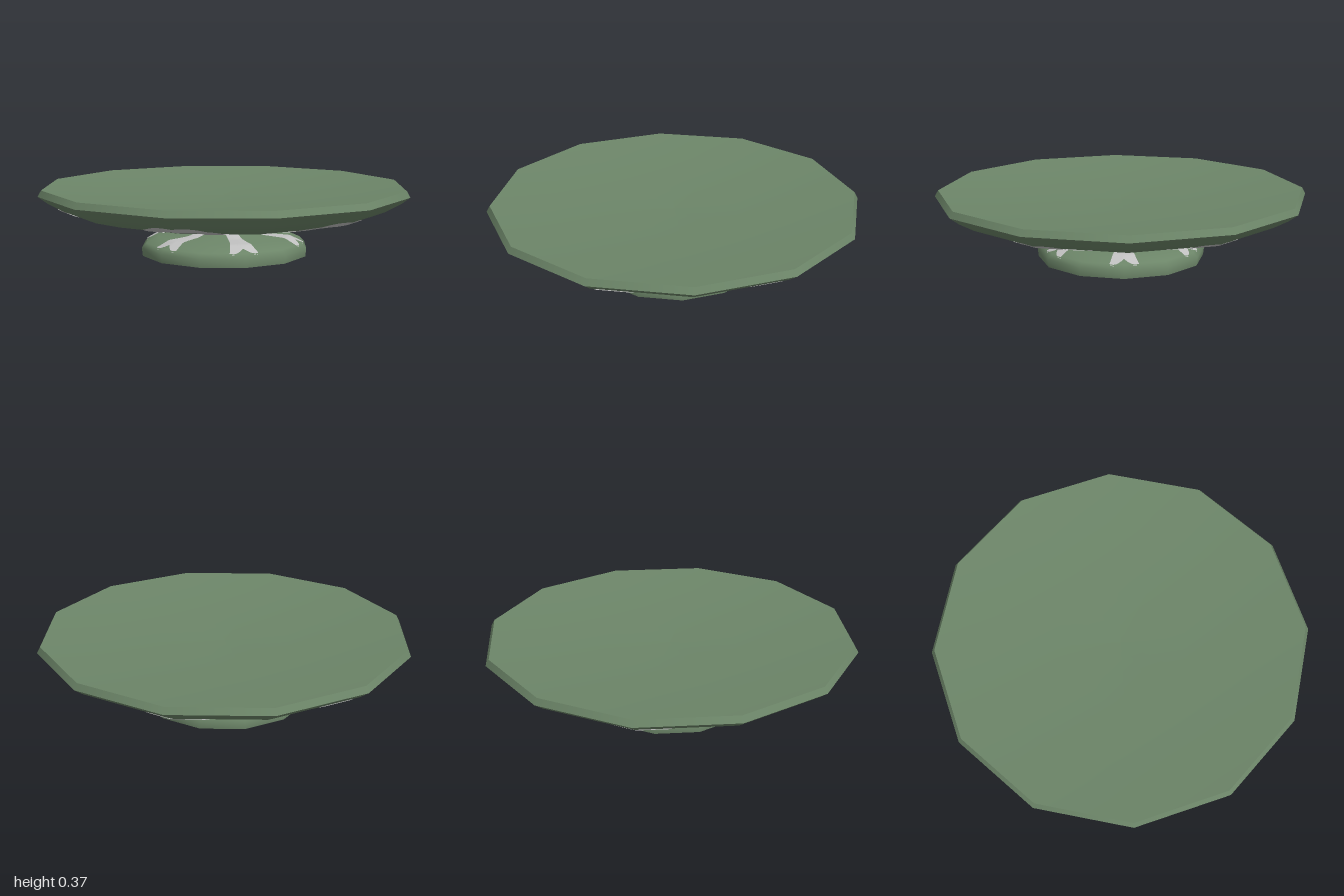
import * as THREE from 'three';

const SIDES = 12;
const UNDER = [[0, 0.155], [0.1, 0.155], [0.42, 0.182], [0.72, 0.218], [0.87, 0.256], [0.95, 0.3], [1, 0.337]];
const RIM = [[1, 0.337], [0.982, 0.37]];
const DISH = [[0.982, 0.37], [0.7, 0.342], [0.35, 0.322], [0, 0.315]];
const FOOT = [[0.45, 0], [0.455, 0.045], [0.43, 0.07], [0.365, 0.1], [0.24, 0.108], [0.1, 0.14], [0.1, 0.158]];

// Height of a twelve-sided lathe surface above the point (x, z)
function heightOn(profile, x, z) {
  const step = (2 * Math.PI) / SIDES;
  const a = Math.atan2(x, z);
  const mid = (Math.floor(a / step) + 0.5) * step;
  const r = (Math.hypot(x, z) * Math.cos(a - mid)) / Math.cos(step / 2);
  let i = 0;
  while (i < profile.length - 2 && r > profile[i + 1][0]) i++;
  const [r0, y0] = profile[i], [r1, y1] = profile[i + 1];
  return y0 + ((y1 - y0) * (r - r0)) / (r1 - r0);
}

// Thin painted patch: at(u, v) gives [sideways, outward], draped over a profile
function patch(profile, angle, offset, nu, nv, at) {
  const pos = [], index = [];
  const c = Math.cos(angle), s = Math.sin(angle);
  for (let i = 0; i <= nu; i++) {
    for (let j = 0; j <= nv; j++) {
      const [w, r] = at(i / nu, j / nv);
      const x = r * s + w * c, z = r * c - w * s;
      pos.push(x, heightOn(profile, x, z) + offset, z);
      if (i < nu && j < nv) {
        const a = i * (nv + 1) + j, b = a + nv + 1;
        index.push(a, b, a + 1, b, b + 1, a + 1);
      }
    }
  }
  const g = new THREE.BufferGeometry();
  g.setAttribute('position', new THREE.Float32BufferAttribute(pos, 3));
  g.setIndex(index);
  g.computeVertexNormals();
  return g;
}

export function createModel() {
  const group = new THREE.Group();
  const green = new THREE.MeshStandardMaterial({ color: 0x6c8568, side: THREE.DoubleSide });
  green.name = 'sage green';
  const pale = new THREE.MeshStandardMaterial({ color: 0xc0c0c0, side: THREE.DoubleSide });
  pale.name = 'pale grey';

  const add = (name, geometry, material) => {
    const mesh = new THREE.Mesh(geometry, material);
    mesh.name = name;
    group.add(mesh);
  };
  const turned = (profile) =>
    new THREE.LatheGeometry(profile.map(([r, y]) => new THREE.Vector2(r, y)), SIDES);

  // Plate and hollow foot
  add('plateUnderside', turned(UNDER), green);
  add('plateRim', turned(RIM), green);
  add('plateTop', turned(DISH), green);
  add('foot', turned(FOOT), green);

  // Horseshoe centre line: leg, half circle, leg
  const bend = 0.155, bendAt = 0.695, legEnd = 0.56;
  const line = new THREE.CatmullRomCurve3([
    [-bend - 0.015, legEnd], [-bend - 0.005, 0.63],
    ...Array.from({ length: 9 }, (_, i) => {
      const a = Math.PI * (1 - i / 8);
      return [bend * Math.cos(a), bendAt + bend * Math.sin(a)];
    }),
    [bend + 0.005, 0.63], [bend + 0.015, legEnd],
  ].map(([x, y]) => new THREE.Vector3(x, y, 0)));
  const arch = (u, v) => {
    const p = line.getPointAt(u), t = line.getTangentAt(u);
    // rounded leg ends
    const e = Math.min(1, Math.min(u, 1 - u) / 0.05);
    const w = (v - 0.5) * 0.092 * (0.35 + 0.65 * Math.sqrt(1 - (1 - e) ** 2));
    return [p.x - t.y * w, p.y + t.x * w];
  };

  // Forked strokes that flare out towards the edge of the foot
  const slope = FOOT.slice(2, 6).reverse();
  const fork = (u, v) => {
    const s = v * 2 - 1;
    const end = 0.395 + 0.032 * Math.sin(Math.PI * Math.min(1, Math.abs(s) * 0.75));
    const half = 0.034 + 0.042 * u ** 2.5;
    return [s * half, 0.125 + u * (end - 0.125)];
  };

  for (let k = 0; k < 6; k++) {
    const a = (k * Math.PI) / 3;
    add('undersideArch', patch(UNDER, a, -0.004, 56, 4, arch), pale);
    add('footStrokeOutside', patch(slope, a + Math.PI / 6, 0.004, 24, 8, fork), pale);
    add('footStrokeInside', patch(slope, a + Math.PI / 6, -0.004, 24, 8, fork), pale);
  }
  return group;
}
